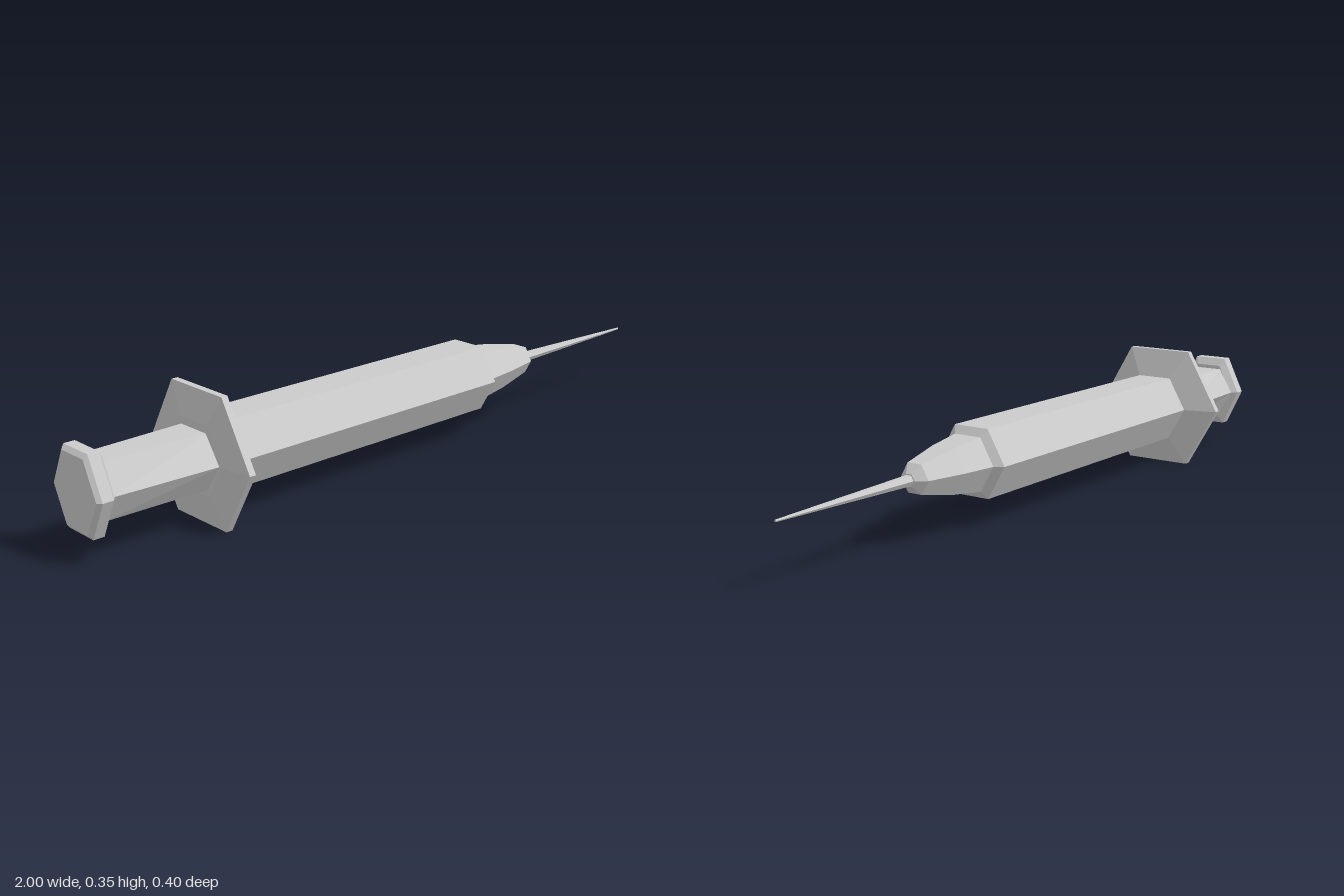
import * as THREE from 'three';

const AXIS_Y = 0.173;
const FLAT = Math.cos(Math.PI / 6); // half height of a hexagon of radius 1

export function createModel() {
  const group = new THREE.Group();
  const material = new THREE.MeshStandardMaterial({ color: 0xcccccc, flatShading: true });

  // Hexagonal turned part along x: profile of [x, corner radius], corners at +-z
  function hexPart(name, profile, zScale = () => 1) {
    const points = profile.map(([x, r]) => new THREE.Vector2(r, x));
    const geometry = new THREE.LatheGeometry(points, 6);
    geometry.rotateZ(-Math.PI / 2);
    const pos = geometry.attributes.position;
    for (let i = 0; i < pos.count; i++) pos.setZ(i, pos.getZ(i) * zScale(pos.getX(i)));
    geometry.computeVertexNormals();
    const mesh = new THREE.Mesh(geometry, material);
    mesh.name = name;
    mesh.position.y = AXIS_Y;
    group.add(mesh);
  }

  // Thumb rest, slightly narrower in depth than in height
  hexPart('thumbRest', [
    [-1, 0], [-1, 0.108], [-0.99, 0.105 / FLAT], [-0.96, 0.105 / FLAT], [-0.945, 0.096], [-0.945, 0],
  ], () => 0.83);

  // Plunger rod, widening in depth towards the flange
  hexPart('plungerRod', [[-0.95, 0.084], [-0.66, 0.084]], (x) => 1 + 0.18 * (x + 0.95) / 0.29);

  // Finger flange with sloping faces
  hexPart('fingerFlange', [
    [-0.663, 0], [-0.663, 0.106], [-0.65, 0.2], [-0.632, 0.2], [-0.605, 0.106],
  ]);

  // Barrel with bevelled front edge
  hexPart('barrel', [[-0.605, 0.106], [0.305, 0.106], [0.32, 0.082]]);

  // Rounded nose
  hexPart('nose', [
    [0.32, 0.082], [0.42, 0.068], [0.53, 0.044], [0.552, 0.018], [0.552, 0],
  ]);

  // Needle
  hexPart('needle', [[0.55, 0.015], [1, 0.003], [1, 0]]);

  return group;
}
